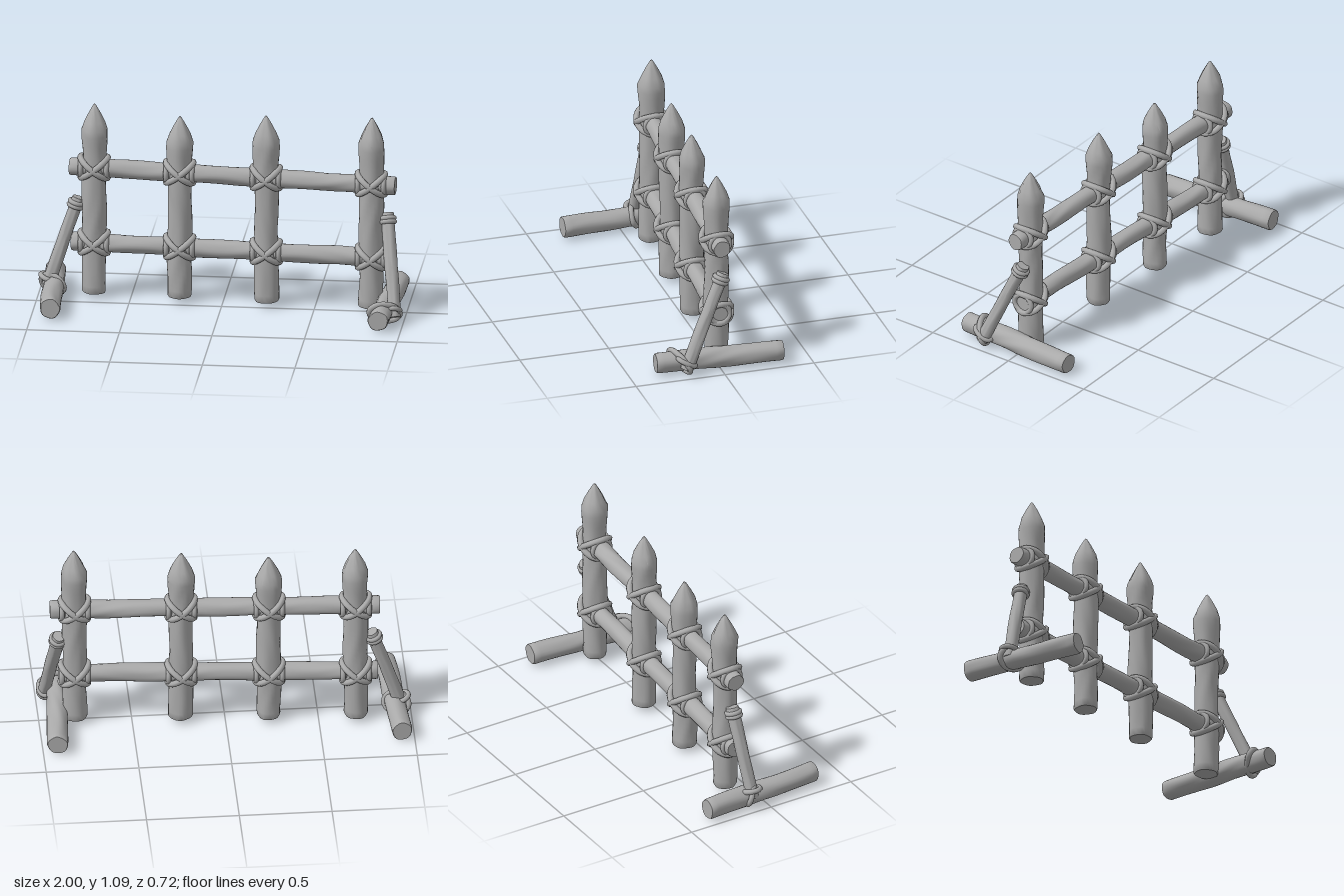
import * as THREE from 'three';
import { toCreasedNormals } from 'three/addons/utils/BufferGeometryUtils.js';

const V = (x, y, z) => new THREE.Vector3(x, y, z);
const UP = V(0, 1, 0);
// Depth of the slightly turned fence line at a given x
const fenceZ = (x) => -0.063 + 0.066 * x;

export function createModel() {
  const model = new THREE.Group();
  const wood = new THREE.MeshStandardMaterial({ color: 0xaaaaaa });
  wood.name = 'grey wood';

  function add(parent, name, geometry) {
    const mesh = new THREE.Mesh(geometry, wood);
    mesh.name = name;
    parent.add(mesh);
    return mesh;
  }

  // Rough log between two points; pointed logs end in a whittled tip
  function log(name, from, to, radius, seed, pointed = false) {
    const length = from.distanceTo(to);
    const body = pointed ? length - 0.135 : length;
    const rows = Math.ceil(body / 0.035);
    const profile = [new THREE.Vector2(0, 0), new THREE.Vector2(radius * 0.93, 0)];
    for (let i = 0; i <= rows; i++) {
      const t = i / rows;
      const swell = pointed ? 0.1 * Math.exp(-(((t - 0.97) / 0.09) ** 2)) : 0;
      profile.push(new THREE.Vector2(radius * (1 + swell), 0.008 + t * (body - 0.016)));
    }
    if (pointed) {
      profile.push(new THREE.Vector2(radius * 0.85, body + 0.035));
      profile.push(new THREE.Vector2(radius * 0.48, body + 0.085));
      profile.push(new THREE.Vector2(radius * 0.12, length - 0.008));
    } else {
      profile.push(new THREE.Vector2(radius * 0.93, length));
    }
    profile.push(new THREE.Vector2(0, length));
    const geometry = new THREE.LatheGeometry(profile, 24);
    const p = geometry.attributes.position;
    for (let i = 0; i < p.count; i++) {
      const y = p.getY(i);
      const a = Math.atan2(p.getX(i), p.getZ(i));
      let k = 1 + 0.035 * Math.sin(2 * a + 9 * y + seed)
        + 0.03 * Math.sin(5 * a + 4 * Math.sin(7 * y + seed) + seed * 2)
        + 0.025 * Math.sin(13 * y + seed * 3 + a);
      if (pointed && y > body) k = 1 + 0.06 * Math.cos(6 * a + seed);
      p.setX(i, p.getX(i) * k);
      p.setZ(i, p.getZ(i) * k);
    }
    const mesh = add(model, name, toCreasedNormals(geometry, 0.75));
    mesh.position.copy(from);
    mesh.quaternion.setFromUnitVectors(UP, to.clone().sub(from).normalize());
    return mesh;
  }

  // Closed rope loop spanned by two half-axes around a centre
  function loop(parent, name, centre, u, v, thickness) {
    const points = [];
    for (let i = 0; i < 16; i++) {
      const a = (i / 16) * Math.PI * 2;
      points.push(centre.clone()
        .addScaledVector(u, Math.cos(a) * (1 + 0.02 * Math.sin(i * 5)))
        .addScaledVector(v, Math.sin(a)));
    }
    const curve = new THREE.CatmullRomCurve3(points, true);
    return add(parent, name, new THREE.TubeGeometry(curve, 36, thickness, 8, true));
  }

  // Cross lashing of two opposed slanted loops
  function lashing(x, y) {
    const group = new THREE.Group();
    group.name = 'crossLashing';
    group.position.set(x, y, fenceZ(x));
    for (const s of [-1, 1]) {
      loop(group, 'slantedRope', V(0, 0, 0), V(0.073, s * 0.056, 0), V(0, 0, 0.08), 0.017);
    }
    // Rope turns around the rail on both sides of the post
    for (const s of [-1, 1]) {
      loop(group, 'railRope', V(s * 0.07, 0, 0), V(0, 0.052, 0), V(0, 0, 0.054), 0.014);
    }
    model.add(group);
  }

  // Pointed posts: base x, top x, top height
  const posts = [
    [-0.7, -0.697, 1.09],
    [-0.235, -0.232, 1.045],
    [0.238, 0.236, 1.075],
    [0.805, 0.812, 1.095],
  ];
  posts.forEach(([x0, x1, top], i) => {
    log('post', V(x0, 0.028, fenceZ(x0)), V(x1, top, fenceZ(x1)), 0.065, i * 1.7 + 0.4, true);
    const x = (x0 + x1) / 2;
    lashing(x, 0.725 - 0.006 * x);
    lashing(x, 0.305);
  });

  // Horizontal rails
  log('upperRail', V(-0.83, 0.73, fenceZ(-0.83)), V(0.94, 0.715, fenceZ(0.94)), 0.049, 2.1);
  log('lowerRail', V(-0.82, 0.305, fenceZ(-0.82)), V(0.88, 0.305, fenceZ(0.88)), 0.049, 5.3);

  // Feet lying on the ground
  log('rightFoot', V(-0.93, 0.065, -0.36), V(-0.893, 0.065, 0.33), 0.056, 0.9);
  log('leftFoot', V(0.925, 0.065, -0.345), V(0.88, 0.065, 0.355), 0.056, 3.6);

  // Slanted brace with a rope collar near its top
  function brace(name, bottom, top, seed) {
    log(name, bottom, top, 0.035, seed);
    const dir = top.clone().sub(bottom).normalize();
    const u = V(1, 0, 0).cross(dir).normalize();
    const v = dir.clone().cross(u);
    for (const d of [0.03, 0.05]) {
      loop(model, 'braceCollar', top.clone().addScaledVector(dir, -d),
        u.clone().multiplyScalar(0.036), v.clone().multiplyScalar(0.036), 0.013);
    }
  }
  brace('leftBrace', V(0.957, 0.04, 0.205), V(0.893, 0.555, -0.022), 1.3);
  brace('rightBrace', V(-0.947, 0.06, -0.085), V(-0.785, 0.555, -0.115), 4.2);

  // Ropes tying each brace to its foot
  loop(model, 'leftFootRope', V(0.904, 0.071, 0.225), V(0.079, -0.01, -0.03), V(0, 0.054, 0.025), 0.016);
  loop(model, 'leftBraceRope', V(0.95, 0.08, 0.2), V(0.034, 0, 0), V(0, 0.025, 0.046), 0.014);
  loop(model, 'rightFootRope', V(-0.92, 0.071, -0.085), V(0.064, -0.01, 0.03), V(0, 0.055, 0.018), 0.015);
  loop(model, 'rightBraceRope', V(-0.938, 0.105, -0.087), V(0.046, -0.015, 0), V(0, 0, 0.046), 0.014);

  return model;
}
